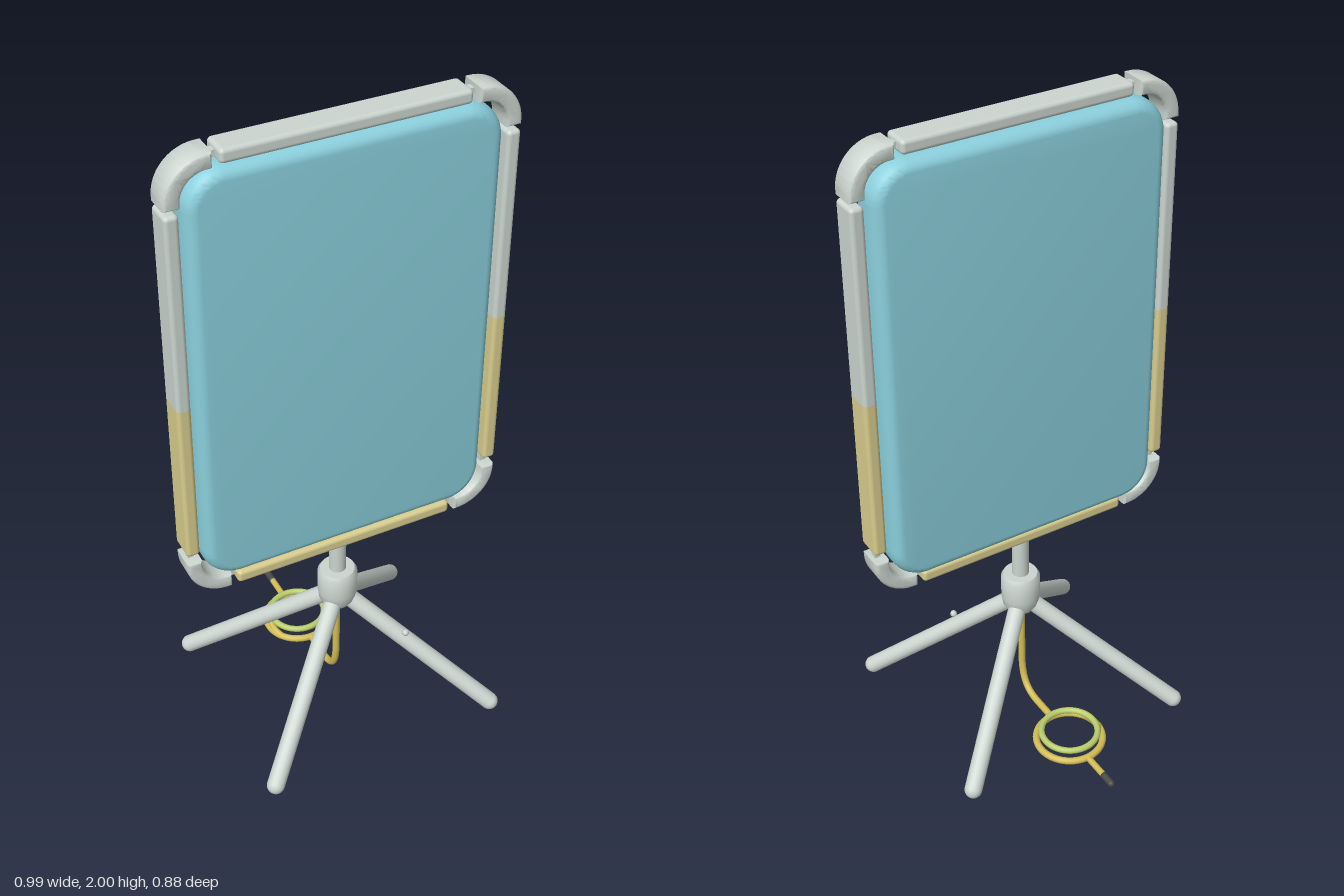
import * as THREE from 'three';
import { toCreasedNormals } from 'three/addons/utils/BufferGeometryUtils.js';
import { RoundedBoxGeometry } from 'three/addons/geometries/RoundedBoxGeometry.js';

const V = (x, y, z) => new THREE.Vector3(x, y, z);
const material = (name, color) => {
  const m = new THREE.MeshStandardMaterial({ color });
  m.name = name;
  return m;
};

export function createModel() {
  const model = new THREE.Group();
  model.name = 'framedPanelOnStand';
  const grey = material('pale grey', 0xcbd5cf);
  const sand = material('sand yellow', 0xd8cd8e);
  const blue = material('sky blue', 0x8acfdc);
  const gold = material('cable gold', 0xd3bd55);
  const green = material('coil green', 0xbace6c);
  const dark = material('plug dark', 0x4a4a48);

  const add = (name, geometry, mat, x = 0, y = 0, z = 0) => {
    const mesh = new THREE.Mesh(geometry, mat);
    mesh.name = name;
    mesh.position.set(x, y, z);
    model.add(mesh);
    return mesh;
  };
  const tube = (name, curve, radius, mat, segments = 40) =>
    add(name, new THREE.TubeGeometry(curve, segments, radius, 12), mat);

  const midY = 1.305, frameZ = 0.1025;

  // Padded panel with rounded corners and soft edges
  const bevel = 0.032, hw = 0.443 - bevel, hh = 0.65 - bevel, r = 0.075;
  const outline = new THREE.Shape();
  outline.absarc(hw - r, hh - r, r, 0, Math.PI / 2);
  outline.absarc(-hw + r, hh - r, r, Math.PI / 2, Math.PI);
  outline.absarc(-hw + r, -hh + r, r, Math.PI, Math.PI * 1.5);
  outline.absarc(hw - r, -hh + r, r, Math.PI * 1.5, Math.PI * 2);
  outline.closePath();
  const panel = new THREE.ExtrudeGeometry(outline, {
    depth: 0.03, bevelThickness: 0.045, bevelSize: bevel, bevelSegments: 6, curveSegments: 10,
  });
  panel.translate(0, 0, -0.015);
  add('panel', toCreasedNormals(panel, 0.7), blue, 0, midY, 0.095);

  // Frame bars: the sides change colour partway up
  const bar = (name, w, h, mat, x, y) =>
    add(name, new RoundedBoxGeometry(w, h, 0.085, 3, 0.012), mat, x, y, frameZ);
  bar('topBar', 0.69, 0.04, grey, 0, 1.98);
  bar('bottomBar', 0.69, 0.04, sand, 0, 0.63);
  for (const s of [-1, 1]) {
    bar('upperSideBar', 0.04, 0.59, grey, s * 0.475, 1.56);
    bar('lowerSideBar', 0.04, 0.52, sand, s * 0.475, 1.03);
  }

  // Curved frame corners, each with two thin connectors
  const b = 0.012;
  const arc = new THREE.Shape();
  arc.absarc(0, 0, 0.12 - b, 0, Math.PI / 2);
  arc.absarc(0, 0, 0.075 + b, Math.PI / 2, 0, true);
  arc.closePath();
  const cornerRaw = new THREE.ExtrudeGeometry(arc, {
    depth: 0.087 - 2 * b, bevelThickness: b, bevelSize: b, bevelSegments: 4, curveSegments: 14,
  });
  cornerRaw.translate(0, 0, -(0.087 - 2 * b) / 2);
  const corner = toCreasedNormals(cornerRaw, 0.7);
  const turns = [[1, 1], [-1, 1], [-1, -1], [1, -1]];
  turns.forEach(([sx, sy], i) => {
    const cy = midY + sy * 0.575;
    add('frameCorner', corner, grey, sx * 0.375, cy, frameZ).rotation.z = i * Math.PI / 2;
    add('connector', new THREE.BoxGeometry(0.06, 0.018, 0.022), grey, sx * 0.355, midY + sy * 0.674, frameZ);
    add('connector', new THREE.BoxGeometry(0.018, 0.06, 0.022), grey, sx * 0.473, cy - sy * 0.01, frameZ);
  });

  // Pole and hub
  const standZ = 0.088;
  add('pole', new THREE.CylinderGeometry(0.026, 0.026, 0.18, 20), grey, 0, 0.545, standZ);
  const hub = [[0, 0.34], [0.04, 0.345], [0.056, 0.37], [0.06, 0.4], [0.06, 0.47], [0.052, 0.483], [0, 0.484]];
  add('hub', toCreasedNormals(new THREE.LatheGeometry(hub.map(p => new THREE.Vector2(...p)), 28), 0.8),
    grey, 0, 0, standZ);

  // Four splayed legs with round feet
  for (const sx of [-1, 1]) for (const sz of [-1, 1]) {
    const top = V(0, 0.395, standZ), foot = V(sx * 0.367, 0.029, standZ + sz * 0.323);
    const dir = foot.clone().sub(top);
    const leg = add('leg', new THREE.CapsuleGeometry(0.027, dir.length(), 8, 16), grey);
    leg.position.copy(top).add(foot).multiplyScalar(0.5);
    leg.quaternion.setFromUnitVectors(V(0, 1, 0), dir.normalize());
  }
  // Small catch on one front leg
  add('legCatch', new THREE.SphereGeometry(0.011, 10, 8), grey, 0.155, 0.272, 0.242);

  // Cable dropping from the hub and running back along the floor
  const coilZ = -0.197;
  const drop = new THREE.CurvePath();
  drop.add(new THREE.LineCurve3(V(0, 0.37, 0.085), V(0, 0.13, 0.082)));
  drop.add(new THREE.CubicBezierCurve3(V(0, 0.13, 0.082), V(0, 0.05, 0.078), V(0, 0.02, 0.05), V(0, 0.02, -0.01)));
  drop.add(new THREE.LineCurve3(V(0, 0.02, -0.01), V(0, 0.02, -0.096)));
  tube('cable', drop, 0.011, gold, 60);

  // Coil: a wide loop below a narrower one, joined at one side
  const loop = (name, radius, thick, mat, y) => {
    add(name, new THREE.TorusGeometry(radius, thick, 12, 56), mat, 0, y, coilZ).rotation.x = Math.PI / 2;
  };
  loop('lowerCoil', 0.103, 0.011, gold, 0.02);
  loop('upperCoil', 0.087, 0.01, green, 0.048);
  tube('coilLink', new THREE.CatmullRomCurve3([0, 0.25, 0.5, 0.75, 1].map(t => {
    const a = Math.PI * (0.8 + 0.4 * t), rad = 0.103 - 0.016 * t;
    return V(rad * Math.cos(a), 0.02 + 0.028 * t, coilZ + rad * Math.sin(a));
  })), 0.01, gold, 16);

  // Tail and dark plug
  tube('cableTail', new THREE.LineCurve3(V(0, 0.02, -0.296), V(0, 0.02, -0.385)), 0.01, gold, 2);
  const plug = add('plug', new THREE.CapsuleGeometry(0.011, 0.035, 6, 12), dark, 0, 0.02, -0.409);
  plug.rotation.x = Math.PI / 2;

  return model;
}
